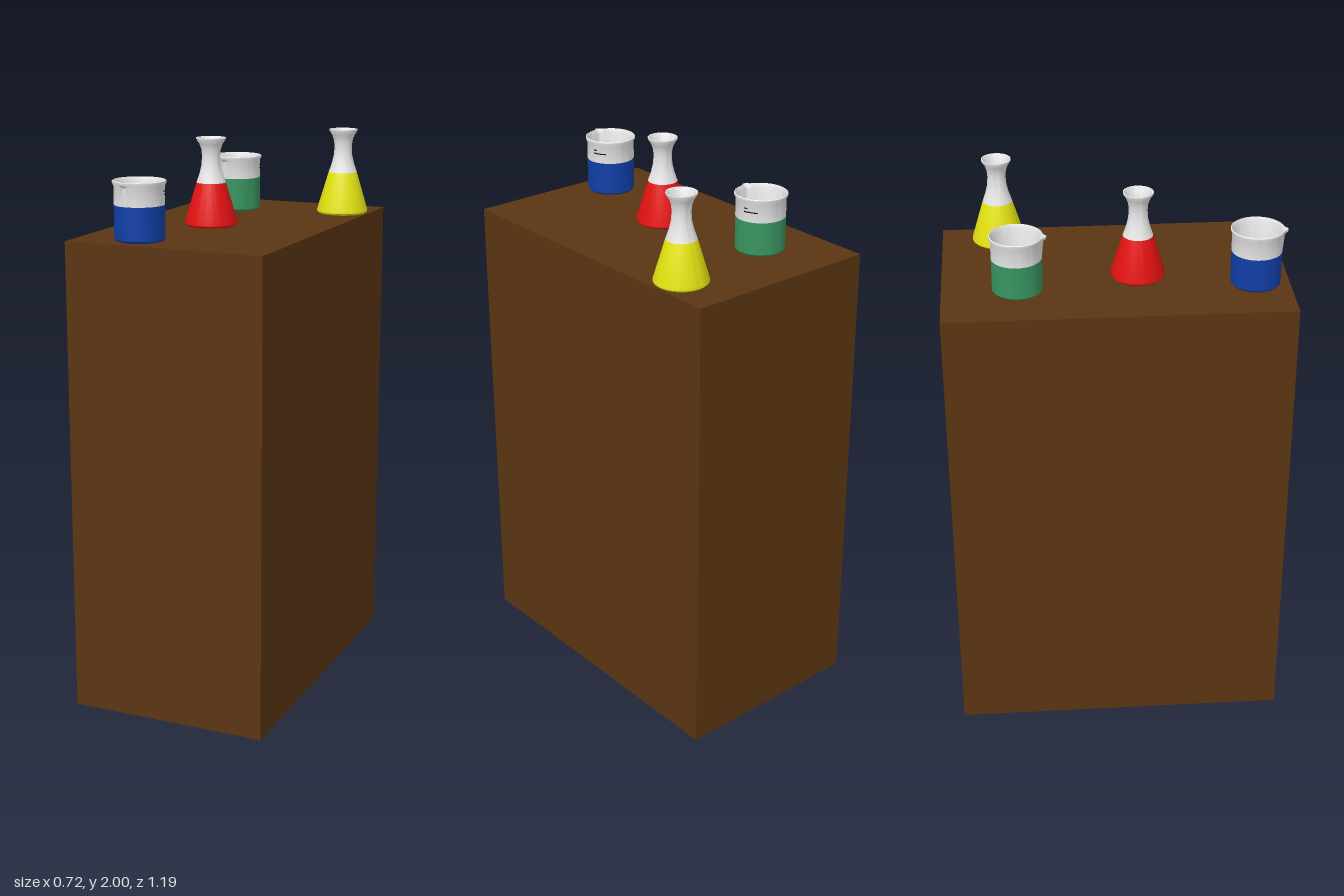
import * as THREE from 'three';
import { toCreasedNormals } from 'three/addons/utils/BufferGeometryUtils.js';

const mat = (name, color) => {
  const m = new THREE.MeshStandardMaterial({ color });
  m.name = name;
  return m;
};

const TOP = 1.69; // height of the counter top

// Smooth turned surface from [radius, height] pairs, with hard corners kept sharp
function turned(name, points, material, shape) {
  const geo = new THREE.LatheGeometry(points.map(([r, y]) => new THREE.Vector2(r, y)), 64);
  if (shape) shape(geo.attributes.position);
  const mesh = new THREE.Mesh(toCreasedNormals(geo, 0.6), material);
  mesh.name = name;
  return mesh;
}

// Pull the rim outwards into a small pouring lip near the front
function pullSpout(pos) {
  for (let i = 0; i < pos.count; i++) {
    const x = pos.getX(i), y = pos.getY(i), z = pos.getZ(i);
    const angle = Math.atan2(x, z) + 0.14;
    const amount = 0.15 * Math.exp(-((angle / 0.12) ** 2)) * THREE.MathUtils.smoothstep(y, 0.17, 0.2);
    pos.setXYZ(i, x * (1 + amount), y, z * (1 + amount));
  }
}

function beaker(name, x, z, liquid, glass, ink) {
  const g = new THREE.Group();
  g.name = name;
  g.position.set(x, TOP, z);
  g.add(turned('beakerLiquid', [[0, 0.001], [0.08, 0.001], [0.086, 0.008], [0.086, 0.122]], liquid));
  g.add(turned('beakerGlass', [
    [0.086, 0.122], [0.086, 0.185], [0.091, 0.195], [0.091, 0.202], [0.088, 0.204],
    [0.081, 0.19], [0.081, 0.012], [0, 0.012],
  ], glass, pullSpout));
  // Measuring marks
  for (const [y, sweep] of [[0.157, 0.6], [0.169, 0.17]]) {
    const mark = new THREE.Mesh(
      new THREE.CylinderGeometry(0.0868, 0.0868, 0.004, 12, 1, true, 1.68, sweep), ink);
    mark.name = 'measuringMark';
    mark.position.y = y;
    g.add(mark);
  }
  return g;
}

function flask(name, x, z, liquid, glass) {
  const g = new THREE.Group();
  g.name = name;
  g.position.set(x, TOP, z);
  g.add(turned('flaskLiquid', [
    [0, 0.001], [0.085, 0.001], [0.093, 0.008], [0.093, 0.016], [0.052, 0.153],
  ], liquid));
  // Shoulder, neck and flared mouth, then back down the inside
  g.add(turned('flaskGlass', [
    [0.052, 0.153], [0.041, 0.185], [0.034, 0.215], [0.032, 0.245], [0.034, 0.268],
    [0.041, 0.288], [0.052, 0.305], [0.052, 0.31], [0.048, 0.31], [0.038, 0.29],
    [0.031, 0.268], [0.029, 0.245], [0.031, 0.215], [0.038, 0.185], [0.085, 0.015], [0, 0.012],
  ], glass));
  return g;
}

export function createModel() {
  const wood = mat('brown wood', 0x5a3512);
  const glass = mat('pale glass', 0xf0f0f0);
  const ink = mat('black ink', 0x101010);
  const blue = mat('blue liquid', 0x103fa6);
  const green = mat('green liquid', 0x38945f);
  const red = mat('red liquid', 0xf01414);
  const yellow = mat('yellow liquid', 0xf2f214);

  const model = new THREE.Group();
  model.name = 'laboratoryCounter';

  const counter = new THREE.Mesh(new THREE.BoxGeometry(0.72, TOP, 1.19), wood);
  counter.name = 'counter';
  counter.position.y = TOP / 2;
  model.add(counter);

  model.add(
    beaker('blueBeaker', -0.137, 0.477, blue, glass, ink),
    beaker('greenBeaker', -0.137, -0.336, green, glass, ink),
    flask('redFlask', -0.055, 0.08, red, glass),
    flask('yellowFlask', 0.266, -0.393, yellow, glass),
  );
  return model;
}
